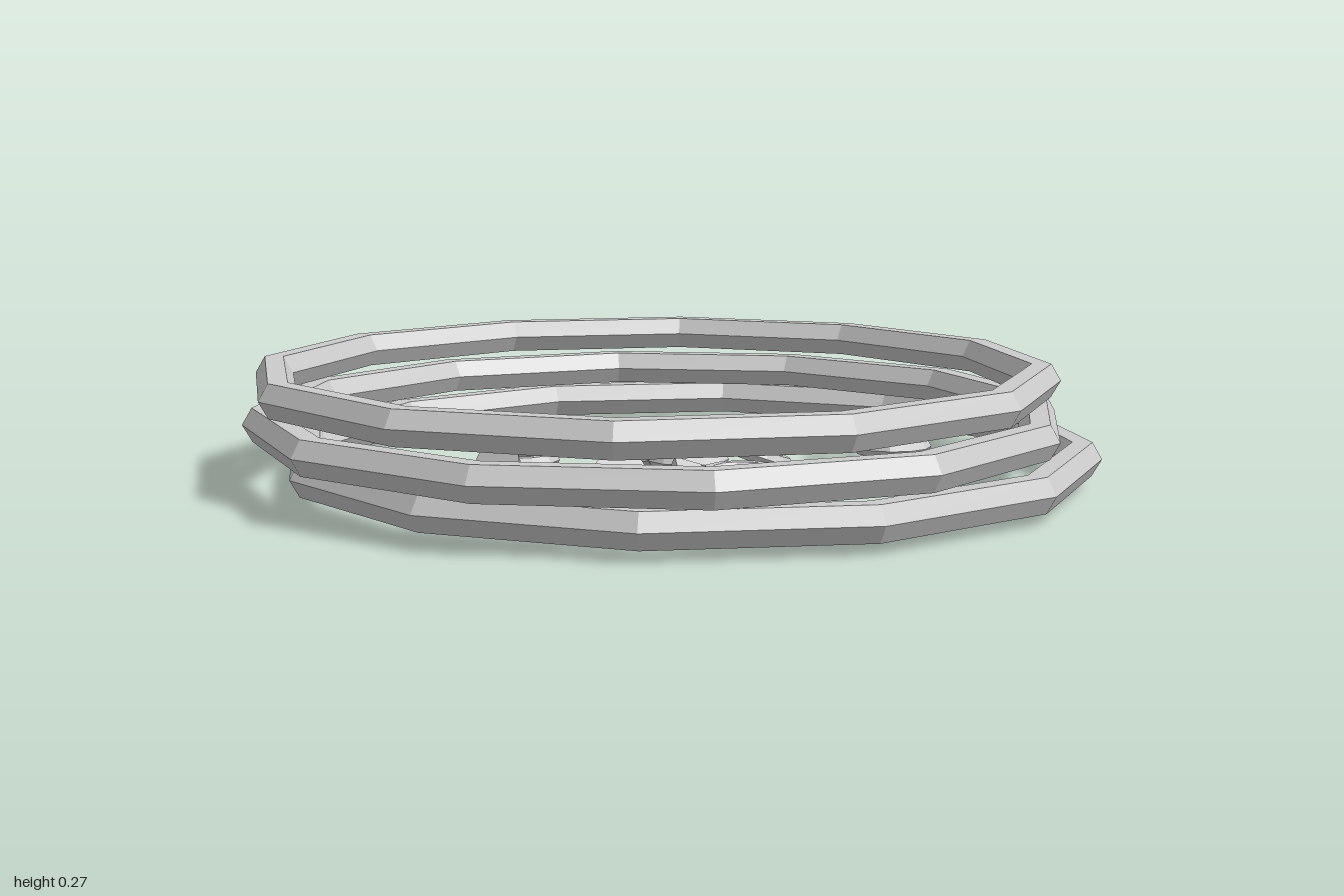
import * as THREE from 'three';

const flat = new THREE.MeshStandardMaterial({ color: 0xcccccc, flatShading: true });
const smooth = new THREE.MeshStandardMaterial({ color: 0xcccccc, side: THREE.DoubleSide });

function part(name, geometry, material) {
  const mesh = new THREE.Mesh(geometry, material);
  mesh.name = name;
  return mesh;
}

// Torus lying flat; startAngle runs from +x towards +z
function hoop(radius, tube, sides, segments, startAngle = 0, arc = Math.PI * 2) {
  return new THREE.TorusGeometry(radius, tube, sides, segments, arc)
    .rotateZ(startAngle).rotateX(Math.PI / 2);
}

// Finger ring; the +z side is turned by yaw and lifted by tilt
function fingerRing([x, y, z], yaw = 0, tilt = 0, hasGem = false) {
  const ring = new THREE.Group();
  ring.name = hasGem ? 'gemRing' : 'plainRing';
  ring.add(part('band', hoop(0.078, 0.019, 6, 12), flat));
  if (hasGem) {
    const gem = new THREE.CylinderGeometry(0.045, 0.026, 0.06, 6).rotateX(Math.PI / 2);
    gem.translate(0, 0, 0.125);
    ring.add(part('gem', gem, flat));
  }
  ring.position.set(x, y, z);
  ring.rotation.set(-tilt, yaw, 0, 'YXZ');
  return ring;
}

// Open hoop with a cone hanging from the side opposite the gap
function earring([x, y, z], yaw) {
  const group = new THREE.Group();
  group.name = 'earring';
  const gap = THREE.MathUtils.degToRad(64);
  group.add(part('earringHoop',
    hoop(0.08, 0.007, 6, 20, -Math.PI / 2 + gap / 2, Math.PI * 2 - gap), smooth));
  const cone = part('earringCone',
    new THREE.ConeGeometry(0.06, 0.11, 20).translate(0, -0.055, 0), smooth);
  cone.position.set(0, 0.005, 0.08);
  // Point the base outward and slightly up
  cone.quaternion.setFromUnitVectors(
    new THREE.Vector3(0, -1, 0), new THREE.Vector3(0, 0.45, 0.89).normalize());
  group.add(cone);
  group.position.set(x, y, z);
  group.rotation.y = yaw;
  return group;
}

export function createModel() {
  const model = new THREE.Group();
  model.name = 'jewellery';

  // Stack of three twelve-sided bangles: centre and turn in degrees
  const bangles = [
    [0.052, 0.0575, -0.012, 0],
    [0, 0.14, 0.043, 16.35],
    [-0.055, 0.224, -0.015, -2.2],
  ];
  for (const [x, y, z, turn] of bangles) {
    const bangle = part('bangle',
      hoop(0.9, 0.045, 6, 12, THREE.MathUtils.degToRad(turn)), flat);
    bangle.position.set(x, y, z);
    model.add(bangle);
  }

  // Plain rings, one leaning on its neighbour
  model.add(
    fingerRing([-0.437, 0.04, -0.166]),
    fingerRing([-0.265, 0.04, 0.225]),
    fingerRing([0.33, 0.04, -0.455]),
    fingerRing([0.226, 0.055, -0.445], Math.PI / 2, 0.4),
  );

  // Gem rings, one leaning on its neighbour
  model.add(
    fingerRing([0.045, 0.04, -0.015], -Math.PI / 2, 0, true),
    fingerRing([0.268, 0.04, 0.08], Math.atan2(-0.68, 0.73), 0, true),
    fingerRing([0.164, 0.052, -0.112], Math.atan2(-0.6, 0.8), 0.35, true),
  );

  // Pair of earrings
  model.add(
    earring([-0.03, 0.045, 0.398], 0),
    earring([0.141, 0.045, 0.418], 0.85),
  );
  return model;
}
